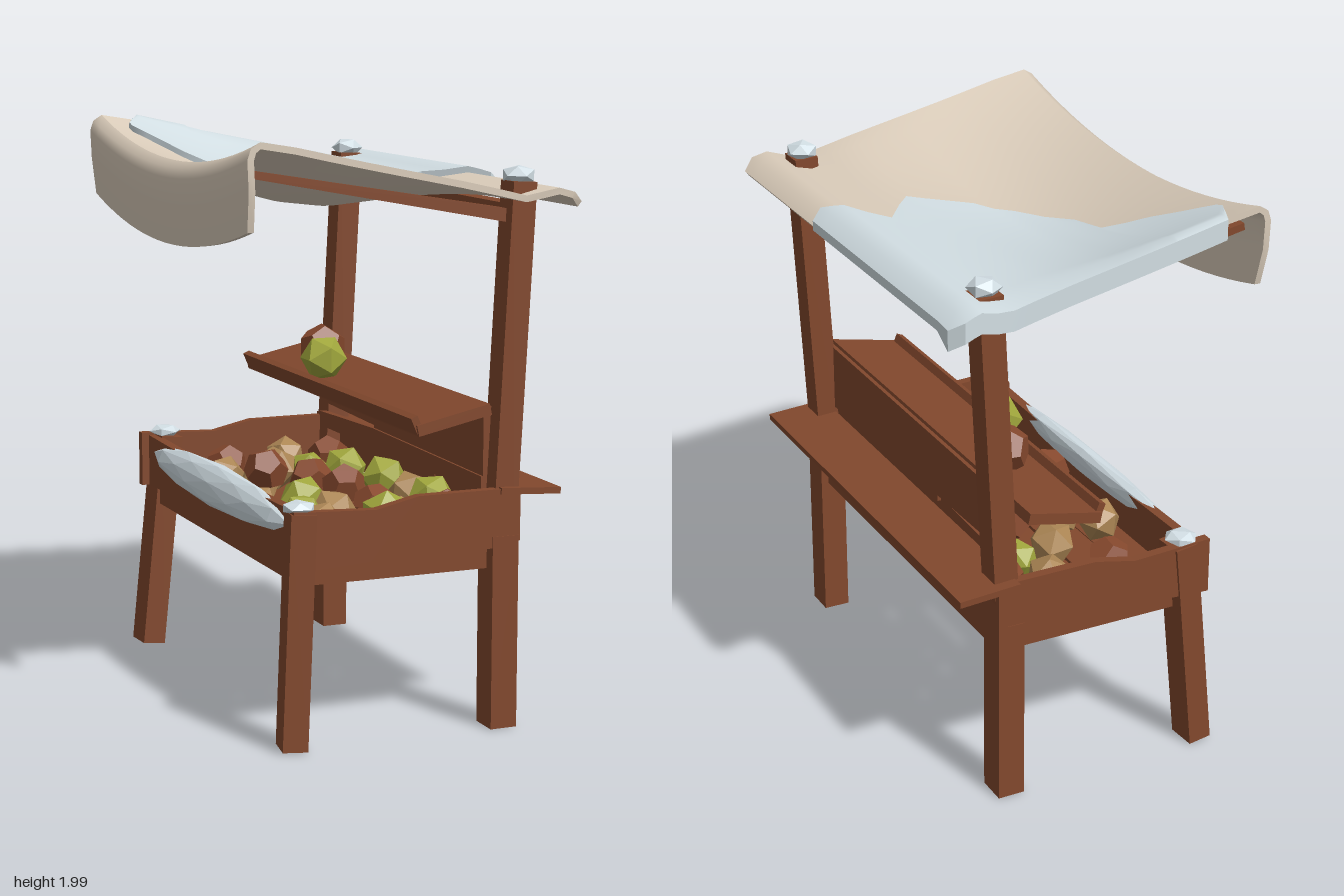
import * as THREE from 'three';
import { toCreasedNormals } from 'three/addons/utils/BufferGeometryUtils.js';

const mat = (name, color, extra = {}) => Object.assign(new THREE.MeshStandardMaterial({ color, ...extra }), { name });

// Closed slab lofted along u: top(i, j) and bottom(i, j) return [x, y, z]
function slab(nu, nv, top, bottom) {
  const pos = [], idx = [], n = 2 * (nv + 1);
  for (let i = 0; i <= nu; i++) {
    for (let j = 0; j <= nv; j++) pos.push(...top(i, j));
    for (let j = nv; j >= 0; j--) pos.push(...bottom(i, j));
  }
  for (let i = 0; i < nu; i++) for (let j = 0; j < n; j++) {
    const a = i * n + j, b = i * n + (j + 1) % n, c = a + n, d = b + n;
    idx.push(a, b, c, b, d, c);
  }
  for (let j = 0; j < nv; j++) {
    const a = j, b = j + 1, c = n - 1 - j, d = n - 2 - j, e = nu * n;
    idx.push(a, c, b, b, c, d, e + a, e + b, e + c, e + b, e + d, e + c);
  }
  const g = new THREE.BufferGeometry();
  g.setAttribute('position', new THREE.Float32BufferAttribute(pos, 3));
  g.setIndex(idx);
  return toCreasedNormals(g, 0.7);
}

// Cloth profile: x, y at the ends, sag at mid length, half length in z
const PROFILE = [
  [-0.574, 1.71, 0.115, 0.78], [-0.58, 1.83, 0.115, 0.81], [-0.584, 1.93, 0.11, 0.81], [-0.572, 1.965, 0.11, 0.81],
  [-0.54, 1.985, 0.11, 0.81], [-0.42, 1.965, 0.14, 0.81], [-0.3, 1.938, 0.158, 0.81], [-0.18, 1.912, 0.165, 0.81],
  [-0.06, 1.887, 0.155, 0.81], [0.16, 1.842, 0.075, 0.81], [0.3, 1.81, 0.015, 0.81], [0.38, 1.79, 0, 0.815],
  [0.48, 1.815, 0, 0.85], [0.535, 1.8, 0, 0.855], [0.578, 1.765, 0, 0.82],
];
const sagAt = (s, z) => s * Math.max(0, 1 - (z / 0.81) ** 2);
function interp(table, x, k) {
  let i = 0;
  while (i < table.length - 2 && x > table[i + 1][0]) i++;
  const t = THREE.MathUtils.clamp((x - table[i][0]) / (table[i + 1][0] - table[i][0]), 0, 1);
  return THREE.MathUtils.lerp(table[i][k], table[i + 1][k], t);
}
const UPPER = PROFILE.slice(4);
const roofY = (x, z) => interp(UPPER, x, 1) - sagAt(interp(UPPER, x, 2), z);

// Snow sheet outline: x, z at one side, z at the ragged side
const SNOW = [
  [-0.47, -0.7, -0.66], [-0.4, -0.845, -0.56], [-0.34, -0.845, -0.465], [-0.22, -0.845, -0.35], [-0.21, -0.845, -0.19],
  [-0.1, -0.845, 0.04], [0, -0.845, 0.15], [0.11, -0.845, 0.19], [0.22, -0.845, 0.23], [0.36, -0.845, 0.045],
  [0.48, -0.86, 0.17], [0.54, -0.868, 0.23], [0.582, -0.83, 0.2],
];

export function createModel() {
  const wood = mat('wood', 0x82482d, { flatShading: true });
  const cloth = mat('cloth', 0xdaccba, { side: THREE.DoubleSide });
  const snow = mat('snow', 0xd2dee3);
  const ice = mat('snow lumps', 0xd2dee4, { flatShading: true });
  const green = mat('green fruit', 0xa0a63c, { flatShading: true });
  const red = mat('red brown fruit', 0x87492e, { flatShading: true });
  const tan = mat('tan fruit', 0xad8755, { flatShading: true });

  const model = new THREE.Group();
  model.name = 'marketStall';
  const add = (name, geo, material) => {
    const m = new THREE.Mesh(geo, material);
    m.name = name;
    model.add(m);
    return m;
  };
  const box = (name, w, h, d, x, y, z) => {
    const m = add(name, new THREE.BoxGeometry(w, h, d), wood);
    m.position.set(x, y, z);
    return m;
  };
  // Box running from a to b
  const beam = (name, a, b, w, h, taper = 1) => {
    const A = new THREE.Vector3(...a), B = new THREE.Vector3(...b), len = A.distanceTo(B);
    const g = new THREE.BoxGeometry(w, h, len), p = g.attributes.position;
    for (let i = 0; i < p.count; i++) if (p.getZ(i) > 0) p.setXY(i, p.getX(i) * taper, p.getY(i) * taper);
    const m = add(name, g, wood);
    m.position.copy(A).add(B).multiplyScalar(0.5);
    m.lookAt(B);
  };
  // Board cut from an outline; alongZ reads the points as (z, y)
  const board = (name, pts, depth, at, alongZ) => {
    const s = new THREE.Shape(pts.map(([a, b]) => new THREE.Vector2(alongZ ? -a : a, b)));
    const g = new THREE.ExtrudeGeometry(s, { depth, bevelEnabled: false });
    g.translate(0, 0, -depth / 2);
    if (alongZ) g.rotateY(Math.PI / 2);
    const m = add(name, g, wood);
    m.position[alongZ ? 'x' : 'z'] = at;
  };
  const lump = (name, x, y, z, sx, sy, sz, turn) => {
    const m = add(name, new THREE.IcosahedronGeometry(1, 0), ice);
    m.scale.set(sx, sy, sz);
    m.position.set(x, y, z);
    m.rotation.y = turn;
  };

  // Legs, posts, rafters and end boards, mirrored in z; one short leg leans further
  for (const s of [1, -1]) {
    const legTop = s > 0 ? -0.378 : -0.325;
    box('tallLeg', 0.095, 0.66, 0.11, 0.335, 0.33, s * 0.73);
    beam('roofPost', [0.335, 0.6, s * 0.72], [0.4, 1.83, s * 0.72], 0.095, 0.085);
    beam('shortLeg', [-0.408, 0.004, s * 0.73], [legTop, 0.79, s * 0.735], 0.11, 0.085);
    beam('rafter', [0.38, 1.715, s * 0.69], [-0.55, 1.88, s * 0.69], 0.07, 0.045, 0.55);
    board('endBoard', [[-0.42, 0.6], [-0.15, 0.615], [0.02, 0.6], [0.38, 0.63], [0.38, 0.82], [0.02, 0.82], [-0.13, 0.787], [-0.42, 0.8]],
      0.035, s * 0.765);
    box('endRail', 0.68, 0.065, 0.05, 0, 0.578, s * 0.715);
    lump('postSnow', 0.4, 1.848, s * 0.715, 0.058, 0.036, 0.06, s);
    lump('legSnow', legTop - 0.008, 0.806, s * 0.735, 0.06, 0.024, 0.06, s + 0.4);
  }
  box('roofBeam', 0.06, 0.055, 1.4, 0.385, 1.73, 0);

  // Long sides of the tray
  board('sideBoard', [[0.78, 0.64], [0.18, 0.645], [0.18, 0.8], [0.78, 0.8]], 0.03, 0.375, true);
  board('sideBoard', [[0.182, 0.655], [-0.79, 0.645], [-0.79, 0.8], [0.182, 0.8]], 0.03, 0.37, true);
  box('sideRail', 0.04, 0.103, 1.38, 0.335, 0.587, 0);
  board('lowSideBoard', [[0.76, 0.6], [0.1, 0.62], [-0.76, 0.6], [-0.76, 0.79], [0, 0.775], [0.76, 0.79]], 0.035, -0.375, true);
  box('lowSideRail', 0.04, 0.07, 1.38, -0.355, 0.575, 0);
  const ledge = box('ledge', 0.22, 0.022, 1.6, 0.425, 0.807, -0.01);
  ledge.rotation.z = -0.06;

  // Floor planks on battens
  for (let i = 0; i < 5; i++) box('floorPlank', 0.136, 0.022, 1.48 - 0.02 * (i % 2), -0.286 + i * 0.143, 0.615 + 0.004 * (i % 2), 0);
  for (const z of [-0.36, 0.36]) box('floorBatten', 0.68, 0.03, 0.06, -0.01, 0.59, z);

  // Back boards and tilted display shelf
  board('backBoard', [[0.7, 0.845], [-0.2, 0.85], [-0.2, 0.872], [-0.7, 0.885], [-0.7, 1.085], [0.7, 1.085]], 0.03, 0.305, true);
  board('lowerBackBoard', [[0.7, 0.79], [-0.7, 0.79], [-0.7, 0.845], [-0.2, 0.862], [0.7, 0.85]], 0.025, 0.295, true);
  const shelf = box('displayShelf', 0.27, 0.038, 1.57, 0.175, 1.05, -0.065);
  shelf.rotation.z = 0.21;
  const lip = box('shelfLip', 0.025, 0.06, 1.55, 0.045, 1.04, -0.065);
  lip.rotation.z = 0.4;

  // Fruit: x, y, z, radius, kind
  const fruit = (x, y, z, r, k, i) => {
    const g = k === red ? new THREE.DodecahedronGeometry(r, 0) : new THREE.IcosahedronGeometry(r, 0);
    const m = add(k === red ? 'redFruit' : k === green ? 'greenFruit' : 'tanFruit', g, k);
    m.position.set(x, y, z);
    m.rotation.set(i * 1.3, i * 2.1, i * 0.7);
  };
  [
    [0.1, 1.128, -0.225, 0.086, green], [0.19, 1.133, -0.45, 0.088, red],
    [0.24, 0.72, 0, 0.085, green], [0.24, 0.72, 0.4, 0.088, green], [-0.01, 0.72, 0.58, 0.088, green],
    [0.2, 0.72, 0.6, 0.08, red], [-0.155, 0.71, 0.21, 0.088, green], [0.19, 0.71, -0.24, 0.086, green],
    [0.05, 0.72, 0.08, 0.08, red], [0.03, 0.7, -0.18, 0.08, red], [-0.02, 0.7, -0.4, 0.085, tan],
    [-0.25, 0.7, -0.32, 0.08, tan], [-0.12, 0.7, 0.39, 0.085, tan], [0.25, 0.7, -0.54, 0.08, red],
    [0.25, 0.7, 0.21, 0.085, tan], [-0.25, 0.71, 0.6, 0.08, tan], [-0.25, 0.71, 0.43, 0.075, green],
    [-0.2, 0.775, -0.03, 0.08, red], [-0.15, 0.69, -0.57, 0.08, red], [0.1, 0.7, -0.6, 0.078, tan],
    [0.07, 0.69, 0.3, 0.078, red], [-0.16, 0.69, -0.2, 0.078, tan], [0.12, 0.68, -0.42, 0.072, green],
    [0.1, 0.68, 0.45, 0.07, tan], [-0.27, 0.68, 0.08, 0.07, tan],
  ].forEach((f, i) => fruit(...f, i));

  // Sagging cloth roof with a hanging flap
  const NZ = 20, last = PROFILE.length - 1;
  const clothPoint = (off) => (i, j) => {
    const [x, y, sag, half] = PROFILE[i], z = half * (2 * j / NZ - 1);
    const a = PROFILE[Math.max(0, i - 1)], b = PROFILE[Math.min(last, i + 1)];
    const dx = b[0] - a[0], dy = b[1] - a[1], l = Math.hypot(dx, dy);
    return [x + off * dy / l, y - sagAt(sag, z) - off * dx / l, z];
  };
  add('clothRoof', slab(last, NZ, clothPoint(0), clothPoint(0.022)), cloth);

  // Snow sheet following the cloth, hanging over its end
  const stations = [];
  SNOW.forEach((s, i) => {
    stations.push(s);
    const n = SNOW[i + 1];
    if (n && n[0] - s[0] > 0.05) stations.push(s.map((v, k) => (v + n[k]) / 2));
  });
  const snowPoint = (lift, rimLift) => (i, j) => {
    const [x, z0, z1] = stations[i], z = THREE.MathUtils.lerp(z0, z1, j / 14);
    return [x, roofY(x, z) + (j ? lift : rimLift), z];
  };
  add('roofSnow', slab(stations.length - 1, 14, snowPoint(0.022, 0.015), snowPoint(-0.012, -0.055)), snow);

  // Snow drift hanging on the outside of the low side board
  const drift = add('traySnow', new THREE.IcosahedronGeometry(1, 1), ice);
  drift.scale.set(0.045, 0.075, 0.68);
  drift.position.set(-0.395, 0.738, 0);
  drift.rotation.z = -0.4;

  return model;
}
